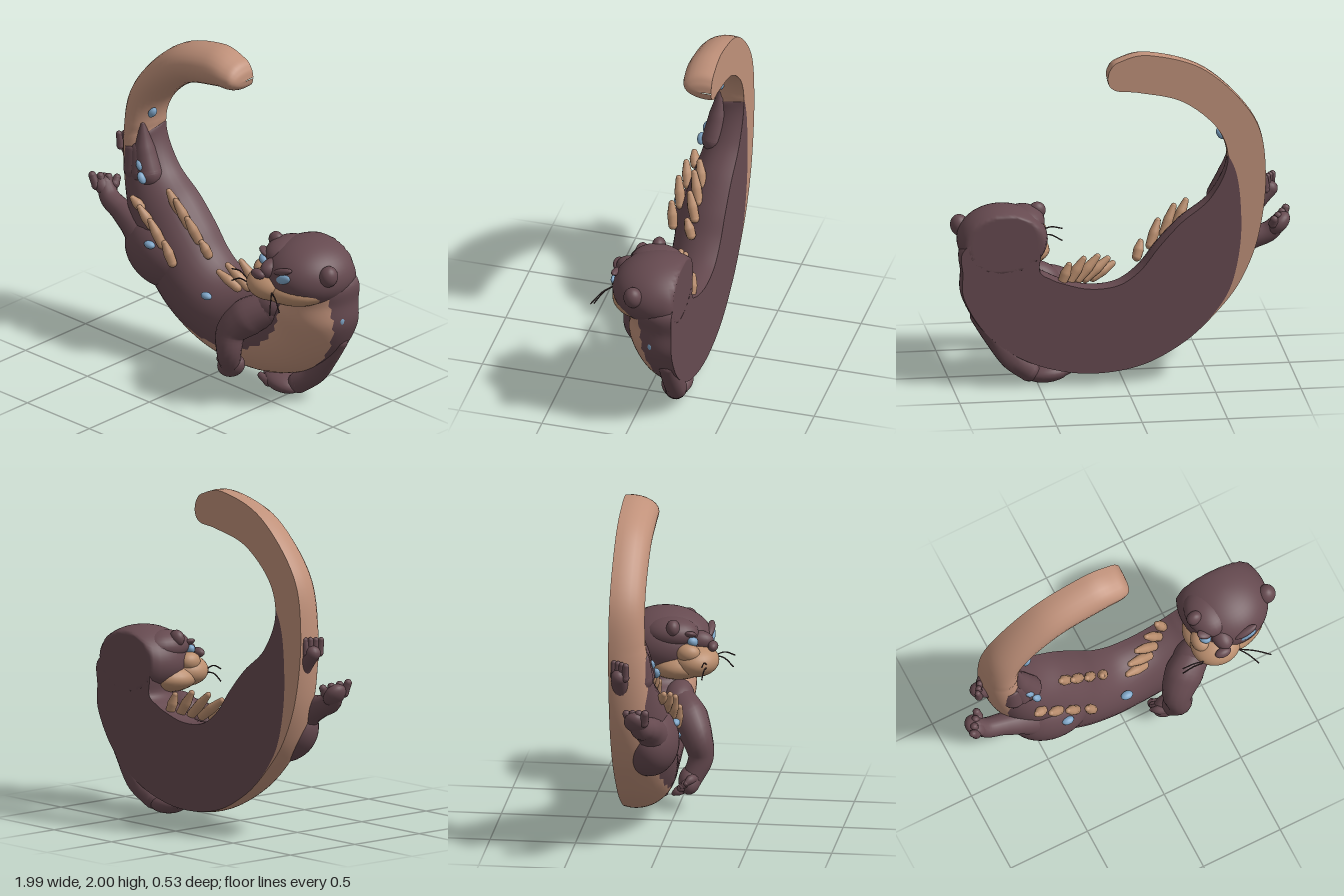
import * as THREE from 'three';
import { mergeVertices } from 'three/addons/utils/BufferGeometryUtils.js';

const BACK = -0.265; // flat back plane
const V = (x, y, z) => new THREE.Vector3(x, y, z);
const { lerp, clamp } = THREE.MathUtils;

function material(name, color) {
  const m = new THREE.MeshStandardMaterial({ color });
  m.name = name;
  return m;
}

// Flatten everything behind the back plane, then smooth
function finish(geo) {
  const p = geo.attributes.position;
  for (let i = 0; i < p.count; i++) if (p.getZ(i) < BACK) p.setZ(i, BACK);
  geo.deleteAttribute('uv');
  geo.deleteAttribute('normal');
  const out = mergeVertices(geo, 1e-5);
  out.computeVertexNormals();
  return out;
}

export function createModel() {
  const group = new THREE.Group();
  const fur = material('dark fur', 0x664a50);
  const cream = material('tan fur', 0xc0917a);
  const tuft = material('sandy fur', 0xba8e6e);
  const blue = material('blue', 0x7fa6c8);
  const line = material('whisker', 0x3a2a2c);

  const add = (name, geo, mat) => {
    const m = new THREE.Mesh(geo, mat);
    m.name = name;
    group.add(m);
  };

  // Ellipsoid, turned about z then y
  const blob = (name, mat, c, r, rz = 0, ry = 0, seg = 24) => {
    const g = new THREE.SphereGeometry(1, seg, Math.round(seg * 0.7));
    g.scale(...r).rotateZ(rz).rotateY(ry).translate(...c);
    add(name, finish(g), mat);
  };

  // Tapered tube through [x, y, z, radius] points, with rounded ends
  const limb = (name, mat, pts, sides = 16) => {
    const curve = new THREE.CatmullRomCurve3(pts.map((p) => V(p[0], p[1], p[2])));
    const n = (pts.length - 1) * 6;
    const g = new THREE.TubeGeometry(curve, n, 1, sides);
    const pos = g.attributes.position;
    for (let i = 0; i <= n; i++) {
      const c = curve.getPointAt(i / n);
      const t = curve.getUtoTmapping(i / n) * (pts.length - 1);
      const k = Math.min(Math.floor(t), pts.length - 2);
      const r = lerp(pts[k][3], pts[k + 1][3], t - k);
      for (let j = 0; j <= sides; j++) {
        const id = i * (sides + 1) + j;
        const v = V().fromBufferAttribute(pos, id).sub(c).multiplyScalar(r).add(c);
        pos.setXYZ(id, v.x, v.y, v.z);
      }
    }
    add(name, finish(g), mat);
    for (const p of [pts[0], pts[pts.length - 1]]) blob(name + 'End', mat, p.slice(0, 3), [p[3], p[3], p[3]], 0, 0, sides);
  };

  // Body and tail: inner edge x,y | outer edge x,y | front z
  const sections = [
    [0.70, 0.97, 0.72, 0.97, -0.2],
    [0.50, 0.85, 0.945, 0.86, 0.03],
    [0.49, 0.71, 0.955, 0.71, 0.04],
    [0.42, 0.66, 0.945, 0.55, 0.05],
    [0.34, 0.63, 0.81, 0.33, 0.03],
    [0.22, 0.60, 0.57, 0.155, 0.02],
    [0.10, 0.60, 0.25, 0.07, 0.02],
    [0, 0.63, -0.08, 0.10, 0.04],
    [-0.10, 0.71, -0.35, 0.235, 0.06],
    [-0.20, 0.84, -0.55, 0.42, 0.06],
    [-0.33, 0.98, -0.69, 0.61, 0.03],
    [-0.50, 1.12, -0.79, 0.88, -0.02],
    [-0.60, 1.33, -0.83, 1.25, -0.06],
    [-0.545, 1.53, -0.765, 1.59, -0.07],
    [-0.34, 1.705, -0.48, 1.895, -0.07],
    [-0.09, 1.77, -0.15, 2.003, -0.07],
    [0.035, 1.785, 0.03, 1.97, -0.08],
    [0.085, 1.815, 0.085, 1.92, -0.115],
    [0.10, 1.86, 0.10, 1.865, -0.2],
  ];
  const track = (f) => new THREE.CatmullRomCurve3(sections.map(f), false, 'catmullrom', 0.5);
  const inner = track((s) => V(s[0], s[1], s[4]));
  const outer = track((s) => V(s[2], s[3], 0));
  const rings = (sections.length - 1) * 8;
  const steps = [6, 14, 14]; // outer fur, tan band, inner fur
  const A = 0.25; // how far each section wraps past its widest line
  const angle = (f) => -A + (Math.acos(1 - 2 * clamp(f, 0, 1)) / Math.PI) * (Math.PI + 2 * A);
  const front = [], back = [];
  for (let i = 0; i <= rings; i++) {
    const k = i / 8, a = inner.getPoint(i / rings), b = outer.getPoint(i / rings);
    // Tan belly narrows towards the hips and spreads over the whole tail
    const tanStart = 0.2 - 0.035 * k;
    const tanEnd = 0.15 + (k < 10 ? 0.63 * ((10 - k) / 8) ** 1.6 : 0.85 * ((k - 10) / 2.1) ** 3);
    const share = clamp((k - 8) / 4.2, 0, 1) ** 3;
    const jag = ((i % 4) / 4 - 0.4) * 0.1; // ragged fur edge, only on the colour border
    const stops = [-A, angle(tanStart), angle(tanEnd), Math.PI + A];
    const depth = Math.max(a.z - BACK, 0.004) / (1 + Math.sin(A));
    const zc = BACK + depth * Math.sin(A);
    const point = (u, z) => [(a.x + b.x) / 2 + ((b.x - a.x) / 2) * u, (a.y + b.y) / 2 + ((b.y - a.y) / 2) * u, z];
    steps.forEach((n, s) => {
      const border = s < 2 && stops[s + 1] > 0 && stops[s + 1] < Math.PI;
      for (let j = s ? 1 : 0; j <= n; j++) {
        const th = lerp(stops[s], stops[s + 1], j / n) + (border && j === n ? jag : 0);
        front.push(...point(Math.cos(th), zc + depth * Math.sin(th)));
      }
    });
    const e = Math.cos(A);
    for (const u of [e, e - 2 * e * share, -e]) back.push(...point(u, BACK));
  }
  const skin = (points, row, ranges, flip) => {
    const g = new THREE.BufferGeometry(), index = [];
    g.setAttribute('position', new THREE.Float32BufferAttribute(points, 3));
    for (const [from, to, mat] of ranges) {
      const start = index.length;
      for (let i = 0; i < rings; i++) for (let j = from; j < to; j++) {
        const p = i * row + j, q = p + 1, r = p + row, s = r + 1;
        index.push(...(flip ? [p, r, q, q, r, s] : [p, q, r, q, s, r]));
      }
      g.addGroup(start, index.length - start, mat);
    }
    g.setIndex(index);
    g.computeVertexNormals();
    return g;
  };
  add('bodyAndTail', skin(front, 35, [[0, 6, 0], [6, 20, 1], [20, 34, 0]], false), [fur, cream]);
  add('flatBack', skin(back, 3, [[0, 1, 1], [1, 2, 0]], true), [fur, cream]);

  // Pointed locks of dark fur lapping onto the tail
  for (let i = 0; i < 3; i++)
    limb('tailLock', fur, [[-0.58 - 0.05 * i, 1.08, -0.1, 0.08], [-0.63 - 0.035 * i, 1.23, -0.11, 0.06], [-0.645 - 0.03 * i, 1.37 - 0.08 * i, -0.11, 0.015]]);

  // Head
  blob('head', fur, [0.70, 0.88, -0.13], [0.265, 0.2, 0.28], 0, 0, 40);
  blob('forehead', fur, [0.57, 0.97, -0.08], [0.125, 0.09, 0.16]);
  blob('cheeks', tuft, [0.66, 0.795, -0.04], [0.25, 0.105, 0.2], 0.08, 0, 32);
  blob('muzzle', tuft, [0.56, 0.81, 0.06], [0.15, 0.095, 0.14], 0, 0, 32);
  blob('rightCheek', tuft, [0.475, 0.875, 0.03], [0.055, 0.055, 0.07]);
  blob('bridge', fur, [0.59, 0.92, 0.075], [0.06, 0.06, 0.09]);
  blob('nose', fur, [0.555, 0.90, 0.165], [0.05, 0.03, 0.03]);
  blob('rightEar', fur, [0.485, 1.02, -0.06], [0.05, 0.05, 0.04]);
  blob('leftEar', fur, [0.935, 0.94, -0.03], [0.055, 0.065, 0.055], -0.2);
  blob('rightEye', blue, [0.495, 0.94, 0.055], [0.036, 0.028, 0.028], -0.4, -0.6);
  blob('leftEye', blue, [0.73, 0.91, 0.138], [0.058, 0.028, 0.018], 0.4);
  blob('rightBrow', fur, [0.50, 0.982, 0.04], [0.05, 0.018, 0.035], -0.4);
  blob('leftBrow', fur, [0.72, 0.955, 0.13], [0.075, 0.02, 0.025], 0.35);

  // Whiskers
  const whisker = (name, from, to) => {
    const a = V(...from), b = V(...to), mid = a.clone().lerp(b, 0.5).add(V(0, 0.02, 0));
    add(name, new THREE.TubeGeometry(new THREE.CatmullRomCurve3([a, mid, b]), 14, 0.004, 6), line);
  };
  for (const i of [0, 1]) {
    whisker('rightWhisker', [0.45, 0.82 - 0.02 * i, 0.14], [0.31, 0.84 - 0.075 * i, 0.13]);
    whisker('leftWhisker', [0.66, 0.81, 0.16], [0.74 + 0.08 * i, 0.72 + 0.045 * i, 0.26]);
  }

  // Front arm and paw
  blob('shoulder', fur, [0.46, 0.60, -0.02], [0.14, 0.09, 0.09], 0.5);
  limb('rightArm', fur, [[0.47, 0.59, -0.02, 0.095], [0.36, 0.52, 0.05, 0.115], [0.285, 0.42, 0.11, 0.09],
    [0.285, 0.31, 0.13, 0.075], [0.25, 0.18, 0.08, 0.06]]);
  blob('rightPaw', fur, [0.245, 0.18, 0.07], [0.1, 0.07, 0.065], 0.5);
  for (let i = 0; i < 4; i++) {
    const y = 0.2 - i * 0.024, z = 0.1 - i * 0.025;
    limb('finger', fur, [[0.22, y, z, 0.03], [0.17, y, z - 0.02, 0.026], [0.145 + i * 0.012, y - 0.015, z - 0.04, 0.014]], 10);
  }

  // Far arm and paw
  limb('leftArm', fur, [[0.85, 0.44, -0.21, 0.05], [0.765, 0.31, -0.21, 0.055], [0.655, 0.17, -0.21, 0.065], [0.55, 0.085, -0.18, 0.065]]);
  blob('leftPaw', fur, [0.44, 0.062, -0.16], [0.13, 0.055, 0.09], -0.1);
  for (let i = 0; i < 3; i++)
    limb('leftFinger', fur, [[0.38, 0.06, -0.1 - i * 0.05, 0.03], [0.32, 0.08, -0.1 - i * 0.05, 0.02]], 10);

  // Hind legs and feet
  blob('thigh', fur, [-0.45, 0.63, -0.07], [0.255, 0.205, 0.17], -0.25, 0, 36);
  limb('rightLeg', fur, [[-0.54, 0.68, -0.06, 0.13], [-0.67, 0.76, -0.05, 0.085], [-0.78, 0.80, -0.06, 0.065],
    [-0.87, 0.835, -0.07, 0.06], [-0.93, 0.90, -0.09, 0.05]]);
  blob('rightFoot', fur, [-0.925, 0.89, -0.09], [0.08, 0.05, 0.07], -0.8);
  limb('leftLeg', fur, [[-0.72, 0.98, -0.2, 0.06], [-0.80, 1.08, -0.2, 0.05], [-0.86, 1.14, -0.2, 0.045]]);
  for (let i = 0; i < 4; i++) {
    limb('rightToe', fur, [[-0.95 + i * 0.02, 0.9, -0.04 - i * 0.03, 0.03], [-0.975 + i * 0.028, 0.96 - i * 0.01, -0.03 - i * 0.04, 0.023]], 10);
    limb('leftToe', fur, [[-0.87 + i * 0.012, 1.14, -0.16 - i * 0.022, 0.025], [-0.88 + i * 0.018, 1.215, -0.155 - i * 0.025, 0.018]], 10);
  }

  // Rows of sandy tufts: count, first base, last base, first lean, last lean
  for (const [n, ...ends] of [
    [4, V(-0.33, 0.92, -0.09), V(-0.095, 0.72, -0.09), V(-0.055, 0.12, 0.03), V(-0.025, 0.08, 0.03)],
    [4, V(-0.54, 0.91, 0.01), V(-0.24, 0.67, 0.06), V(-0.05, 0.05, 0.02), V(-0.045, 0.12, 0.02)],
    [5, V(0.16, 0.60, -0.07), V(0.36, 0.63, -0.22), V(-0.12, 0.07, 0.03), V(-0.04, 0.1, 0)],
  ]) for (let i = 0; i < n; i++) {
    const t = i / (n - 1), base = ends[0].clone().lerp(ends[1], t);
    const lean = ends[2].clone().lerp(ends[3], t).multiplyScalar(1 + 0.5 * Math.sin(Math.PI * t));
    limb('backTuft', tuft, [[0, 0.028], [0.5, 0.031], [1, 0.018]].map(([s, r]) => [...base.clone().addScaledVector(lean, s), r]), 10);
  }

  // Blue droplets
  for (const [x, y, z, turn] of [
    [-0.58, 1.46, -0.125, 1], [-0.565, 1.08, -0.02, -1], [-0.6, 1.14, -0.045, -1],
    [-0.41, 0.735, 0.075, 0], [0, 0.525, 0.025, 0], [0.93, 0.62, -0.14, 1.5],
  ]) blob('droplet', blue, [x, y, z], [0.038, 0.022, 0.026], turn, 0, 14);

  return group;
}
